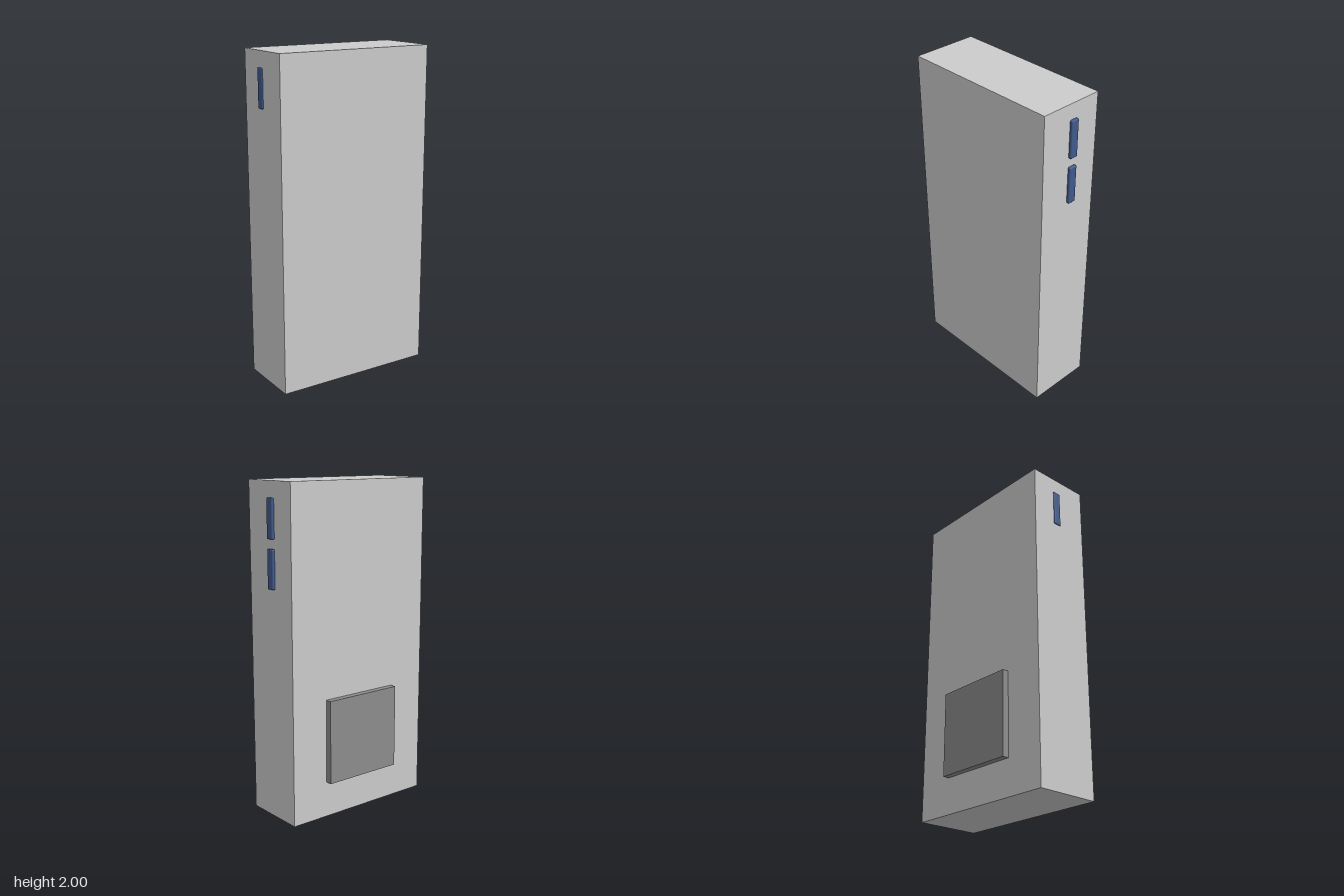
import * as THREE from 'three';
import { RoundedBoxGeometry } from 'three/addons/geometries/RoundedBoxGeometry.js';

const bodyMaterial = new THREE.MeshStandardMaterial({ color: 0xcccccc });
const plateMaterial = new THREE.MeshStandardMaterial({ color: 0x8c8c8c });
const buttonMaterial = new THREE.MeshStandardMaterial({ color: 0x405a8c });

function addPart(group, name, geometry, material, x, y, z) {
  const mesh = new THREE.Mesh(geometry, material);
  mesh.name = name;
  mesh.position.set(x, y, z);
  group.add(mesh);
}

export function createModel() {
  const model = new THREE.Group();
  model.name = 'handheldDevice';

  // Plain slab body
  addPart(model, 'body', new THREE.BoxGeometry(1, 2, 0.403), bodyMaterial, -0.005, 1, 0.0185);

  // Raised square plate low on the back
  addPart(model, 'backPlate', new THREE.BoxGeometry(0.513, 0.513, 0.04), plateMaterial, -0.003, 0.475, -0.203);

  // Soft-edged side buttons, partly sunk into the body
  const button = new RoundedBoxGeometry(0.024, 0.23, 0.052, 3, 0.007);
  const buttons = [
    ['leftUpperButton', 0.5, 1.79],
    ['leftLowerButton', 0.5, 1.505],
    ['rightButton', -0.5, 1.79],
  ];
  for (const [name, x, y] of buttons) addPart(model, name, button, buttonMaterial, x, y, 0);

  return model;
}
